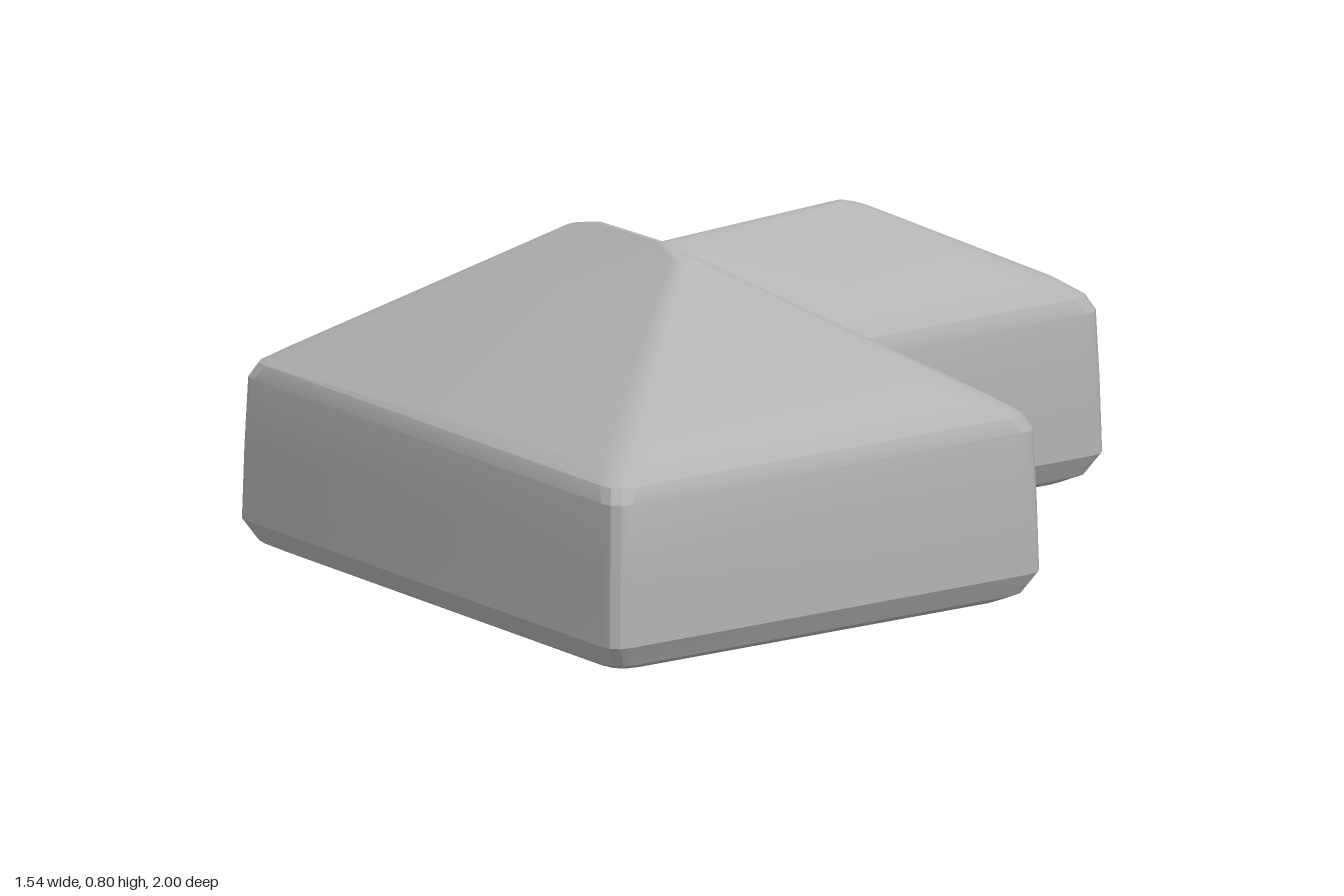
import * as THREE from 'three';
import { toCreasedNormals } from 'three/addons/utils/BufferGeometryUtils.js';

// Four corners [x, y, z], each rounded off by radius r, as one closed ring
function roundedRing(corners, r) {
  const pts = corners.map(c => new THREE.Vector3(...c));
  const ring = [];
  pts.forEach((p, i) => {
    const toward = q => {
      const d = q.clone().sub(p);
      return p.clone().addScaledVector(d, Math.min(r / Math.max(d.length(), 1e-6), 0.35));
    };
    const a = toward(pts[(i + 3) % 4]);
    const b = toward(pts[(i + 1) % 4]);
    const curve = new THREE.QuadraticBezierCurve3(a, p, b);
    ring.push(...curve.getPoints(3));
  });
  return ring;
}

// Skin a stack of rings (bottom to top) and close both ends
function loft(rings) {
  const n = rings[0].length;
  const pos = [], index = [];
  rings.forEach(ring => ring.forEach(p => pos.push(p.x, p.y, p.z)));
  for (let k = 0; k < rings.length - 1; k++) {
    for (let i = 0; i < n; i++) {
      const j = (i + 1) % n;
      const a = k * n + i, b = k * n + j;
      index.push(a, b, b + n, a, b + n, a + n);
    }
  }
  const cap = (k, up) => {
    const c = new THREE.Vector3();
    rings[k].forEach(p => c.addScaledVector(p, 1 / n));
    const m = pos.length / 3;
    pos.push(c.x, c.y, c.z);
    for (let i = 0; i < n; i++) {
      const a = k * n + i, b = k * n + (i + 1) % n;
      index.push(m, up ? a : b, up ? b : a);
    }
  };
  cap(0, false);
  cap(rings.length - 1, true);
  const geo = new THREE.BufferGeometry();
  geo.setAttribute('position', new THREE.Float32BufferAttribute(pos, 3));
  geo.setIndex(index);
  return toCreasedNormals(geo, 0.45);
}

// Footprint corners run front right, front left, back left, back right
const SIGNS = [[-1, 1], [1, 1], [1, -1], [-1, -1]];
const level = (foot, y, inset) =>
  foot.map(([x, z], i) => [x - SIGNS[i][0] * inset, y, z - SIGNS[i][1] * inset]);

// Ridge ring: a thin strip from one end of the ridge to the other
const MAIN_RIDGE = (hx, hz, y) => SIGNS.map(([sx, sz]) => [sx * hx, y, 0.38 + sz * hz]);
const WING_RIDGE = (hx, shrink, drop) => SIGNS.map(([sx, sz]) =>
  [-0.36 + sx * hx, (sz > 0 ? 0.645 : 0.66) - drop, sz > 0 ? 0.16 - shrink : -0.59 + shrink]);

// Walls with a softened base and eaves, topped by a hipped roof
function hippedBlock(foot, ridgeRings) {
  const rings = [
    [0.012, 0.06, 0.06],
    [0.03, 0.025, 0.06],
    [0.08, 0, 0.05],
    [0.25, 0.004, 0.05],
    [0.41, 0.01, 0.05],
    [0.445, 0.025, 0.06],
    [0.475, 0.065, 0.07],
  ].map(([y, inset, r]) => roundedRing(level(foot, y, inset), r));
  ridgeRings.forEach(c => rings.push(roundedRing(c, 0.03)));
  return loft(rings);
}

export function createModel() {
  const group = new THREE.Group();
  const grey = new THREE.MeshStandardMaterial({ color: 0xb2b2b2 });
  grey.name = 'plain grey';

  const add = (name, geo) => {
    const mesh = new THREE.Mesh(geo, grey);
    mesh.name = name;
    group.add(mesh);
  };

  // Main house, slightly skewed in plan
  add('mainHouse', hippedBlock(
    [[-0.76, 0.915], [0.705, 1.0], [0.77, -0.205], [-0.705, -0.26]],
    [MAIN_RIDGE(0.21, 0.03, 0.788), MAIN_RIDGE(0.12, 0.006, 0.81)],
  ));

  // Rear wing, its ridge running forward into the main roof
  add('rearWing', hippedBlock(
    [[-0.775, -0.1], [0.01, -0.12], [0.045, -0.975], [-0.74, -1.0]],
    [WING_RIDGE(0.05, 0, 0.02), WING_RIDGE(0.01, 0.06, 0)],
  ));

  return group;
}
